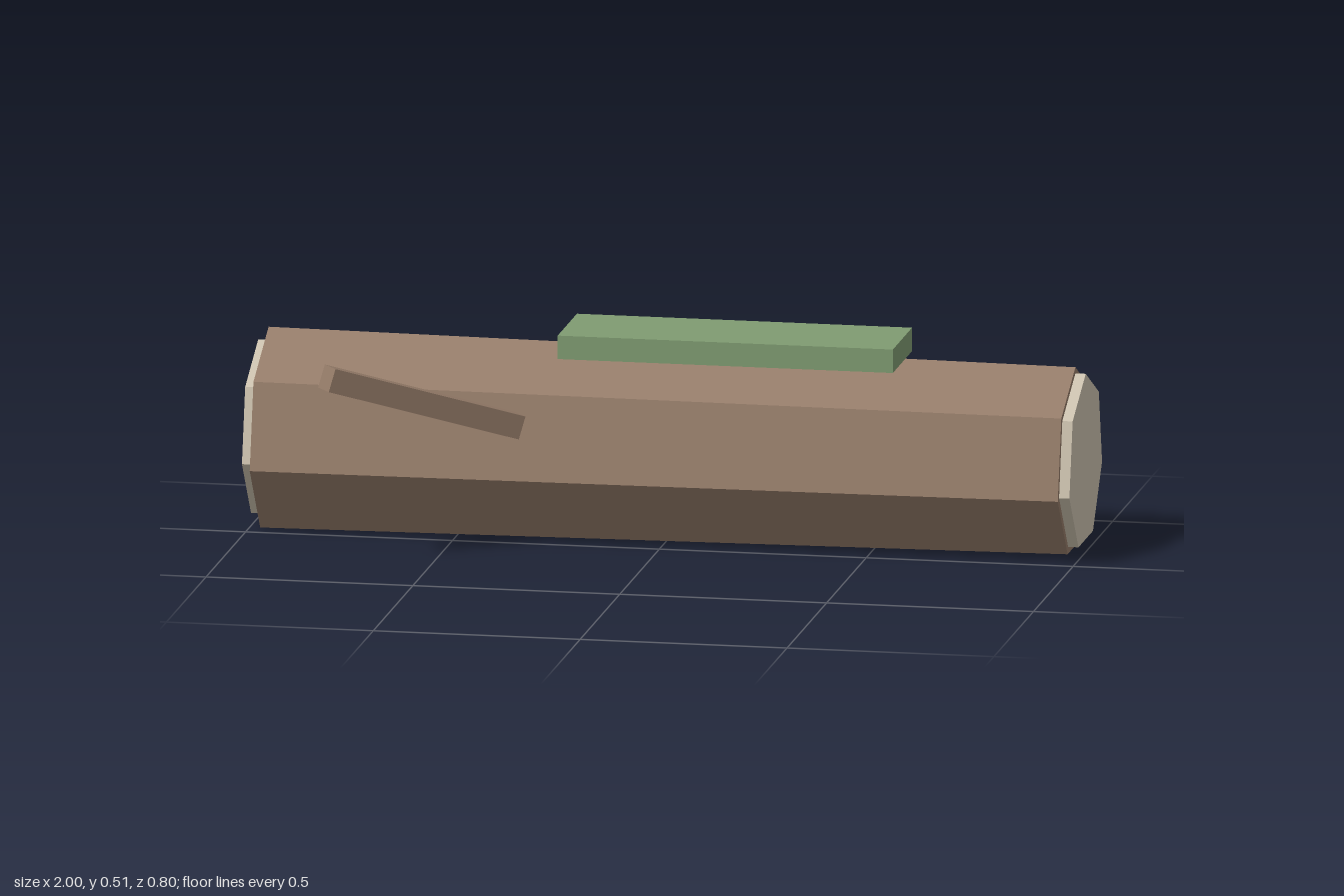
import * as THREE from 'three';

export function createModel() {
  const model = new THREE.Group();
  model.name = 'fallenLog';

  const makeMaterial = (name, color) => {
    const m = new THREE.MeshStandardMaterial({ color, flatShading: true });
    m.name = name;
    return m;
  };
  const bark = makeMaterial('bark', 0x957c69);
  const cutWood = makeMaterial('cutWood', 0xcbc1ae);
  const moss = makeMaterial('moss', 0x7f9b71);

  const add = (name, geometry, material, x, y, z) => {
    const mesh = new THREE.Mesh(geometry, material);
    mesh.name = name;
    mesh.position.set(x, y, z);
    model.add(mesh);
    return mesh;
  };

  // Seven-sided prism lying along x with one ridge pointing up
  const axisY = 0.2205, axisZ = -0.16;
  const prism = (leftRadius, rightRadius, length) =>
    new THREE.CylinderGeometry(leftRadius, rightRadius, length, 7, 1, false, Math.PI / 2)
      .rotateZ(Math.PI / 2);

  // Trunk, slightly thicker at the -x end
  add('trunk', prism(0.2446, 0.228, 1.95), bark, 0, axisY, axisZ);

  // Pale sawn faces standing proud of both ends
  for (const [side, name] of [[-1, 'rightCutFace'], [1, 'leftCutFace']]) {
    add(name, prism(0.2115, 0.2115, 0.05), cutWood, side * 0.975, axisY + 0.0015, axisZ);
  }

  // Branch stub rising forwards and to the side
  const branch = add('branch', new THREE.BoxGeometry(0.53, 0.057, 0.057), bark, -0.532, 0.384, 0.22);
  branch.rotation.set(0, 0.65, -0.317);

  // Moss slab resting on the ridge
  add('mossPatch', new THREE.BoxGeometry(0.81, 0.057, 0.243), moss, 0.16, 0.4815, -0.118);

  return model;
}
